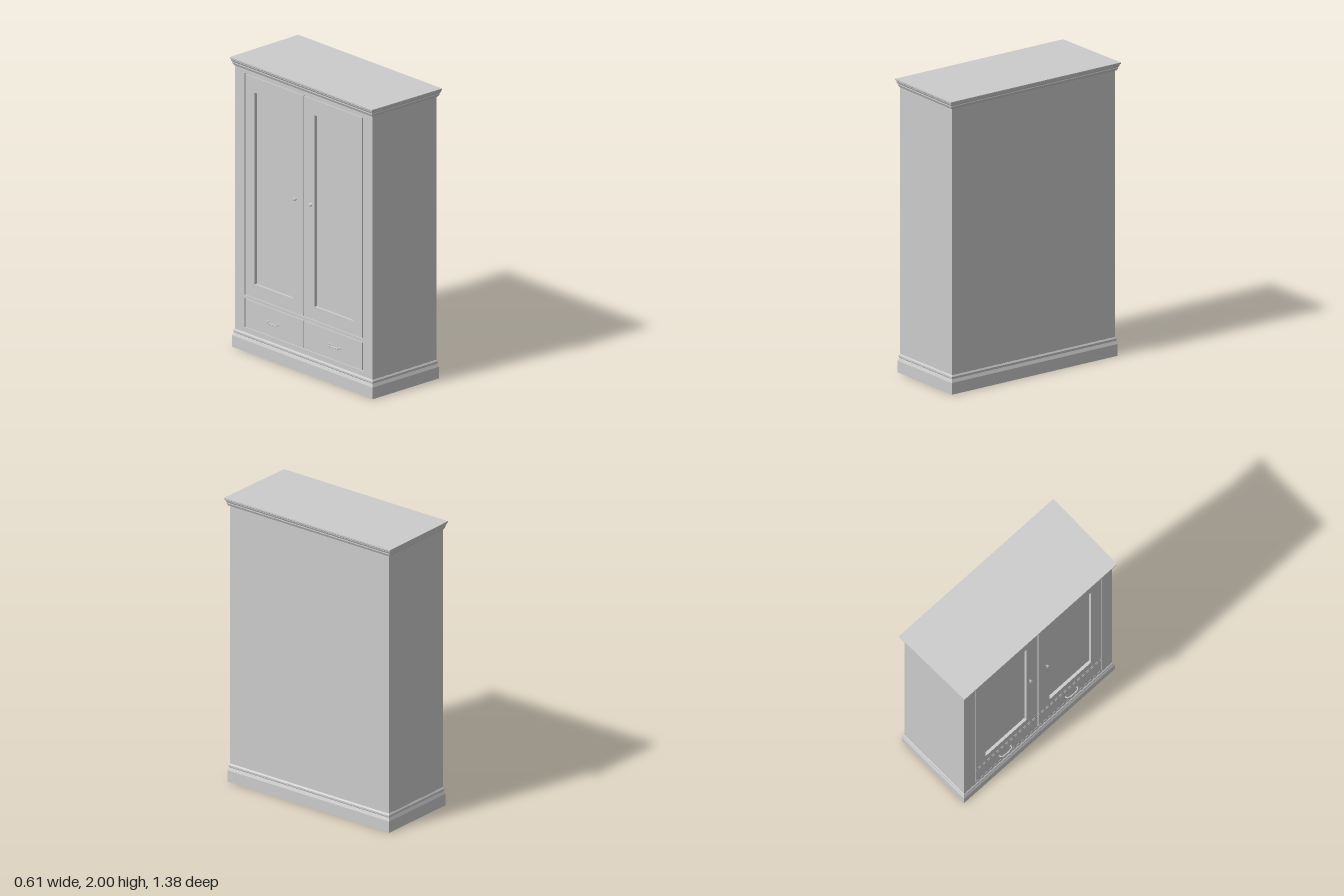
import * as THREE from 'three';

const mat = new THREE.MeshStandardMaterial({ color: 0xcccccc, flatShading: true });
const smooth = new THREE.MeshStandardMaterial({ color: 0xcccccc });
const HX = 0.28, HZ = 0.66; // half depth and half width of the carcass
const CORE = 0.24;          // where the solid core ends behind the door side

function add(parent, name, geometry, material = mat) {
  const mesh = new THREE.Mesh(geometry, material);
  mesh.name = name;
  parent.add(mesh);
  return mesh;
}

// Solid of stacked rectangles; profile rows are [outward offset, height]
function moulding(profile, taper = 0) {
  const pos = [];
  const ring = ([o, y]) => [[1, 1], [1, -1], [-1, -1], [-1, 1]].map(([sx, sz]) =>
    [sx * (HX + o), y, sz * (HZ + o + taper * sx)]);
  const quad = (a, b, c, d) => pos.push(...a, ...b, ...c, ...a, ...c, ...d);
  const rings = profile.map(ring);
  for (let i = 0; i + 1 < rings.length; i++) {
    for (let k = 0; k < 4; k++) {
      const n = (k + 1) % 4;
      quad(rings[i][k], rings[i][n], rings[i + 1][n], rings[i + 1][k]);
    }
  }
  const t = rings[rings.length - 1], b = rings[0];
  quad(t[0], t[1], t[2], t[3]);
  quad(b[3], b[2], b[1], b[0]);
  const g = new THREE.BufferGeometry();
  g.setAttribute('position', new THREE.Float32BufferAttribute(pos, 3));
  g.computeVertexNormals();
  return g;
}

// Board facing -x, bounds [z0, z1, y0, y1], with rectangular openings
function board([z0, z1, y0, y1], holes, back, front) {
  const outline = (p, a, b, c, d) => p.moveTo(a, c).lineTo(b, c).lineTo(b, d).lineTo(a, d).closePath();
  const shape = outline(new THREE.Shape(), z0, z1, y0, y1);
  holes.forEach((h) => shape.holes.push(outline(new THREE.Path(), ...h)));
  const g = new THREE.ExtrudeGeometry(shape, { depth: front - back, bevelEnabled: false });
  return g.rotateY(-Math.PI / 2).translate(-back, 0, 0);
}

export function createModel() {
  const model = new THREE.Group();
  model.name = 'wardrobe';

  // Carcass and the face frame around doors and drawers
  add(model, 'carcass', new THREE.BoxGeometry(HX + CORE, 1.87, HZ * 2)
    .translate((HX - CORE) / 2, 1.025, 0));
  add(model, 'faceFrame', board([-HZ, HZ, 0.09, 1.96],
    [[-0.565, 0.565, 0.163, 0.363], [-0.565, 0.565, 0.385, 1.913]], CORE, HX));

  // Plinth and cornice
  add(model, 'plinth', moulding([[0.012, 0], [0.012, 0.08], [0.004, 0.102],
    [0.007, 0.106], [0.007, 0.118], [0.001, 0.128]]));
  add(model, 'cornice', moulding([[0, 1.942], [0.006, 1.945], [0.014, 1.962], [0.013, 1.968],
    [0.02, 1.98], [0.02, 1.985], [0.025, 1.99], [0.025, 2]], 0.004));

  // Knob profile and bow handle path
  const knob = new THREE.LatheGeometry([[0.009, 0], [0.009, 0.002], [0.004, 0.004], [0.004, 0.01],
    [0.013, 0.012], [0.014, 0.015], [0.01, 0.018], [0, 0.019]]
    .map(([r, y]) => new THREE.Vector2(r, y)), 20).rotateZ(Math.PI / 2);
  const bow = new THREE.CatmullRomCurve3([[0, -0.05], [-0.014, -0.046], [-0.019, -0.025],
    [-0.021, 0], [-0.019, 0.025], [-0.014, 0.046], [0, 0.05]]
    .map(([x, z]) => new THREE.Vector3(x, 0, z)));

  for (const s of [-1, 1]) {
    const side = s < 0 ? 'right' : 'left';
    const span = (a, b) => (s < 0 ? [-b, -a] : [a, b]);

    // Door with a sunken panel
    const door = new THREE.Group();
    door.name = side + 'Door';
    const opening = [...span(0.103, 0.47), 0.482, 1.803];
    add(door, 'doorFrame', board([...span(0.004, 0.56), 0.39, 1.908],
      [opening], CORE, HX));
    add(door, 'doorPanel', board(opening, [], CORE, HX - 0.02));
    add(door, 'doorKnob', knob, smooth).position.set(-HX, 1.18, s * 0.075);
    model.add(door);

    // Drawer with a bow handle on two round feet
    const drawer = new THREE.Group();
    drawer.name = side + 'Drawer';
    add(drawer, 'drawerFront', board([...span(0.004, 0.56), 0.168, 0.358], [], CORE, HX));
    const handle = new THREE.Group();
    handle.name = 'drawerHandle';
    add(handle, 'handleBow', new THREE.TubeGeometry(bow, 32, 0.004, 8), smooth);
    for (const e of [-1, 1]) {
      add(handle, 'handleFoot', new THREE.CylinderGeometry(0.007, 0.009, 0.005, 16)
        .rotateZ(Math.PI / 2), smooth).position.set(-0.002, 0, e * 0.05);
    }
    handle.position.set(-HX, 0.26, s * 0.295);
    drawer.add(handle);
    model.add(drawer);
  }
  return model;
}
